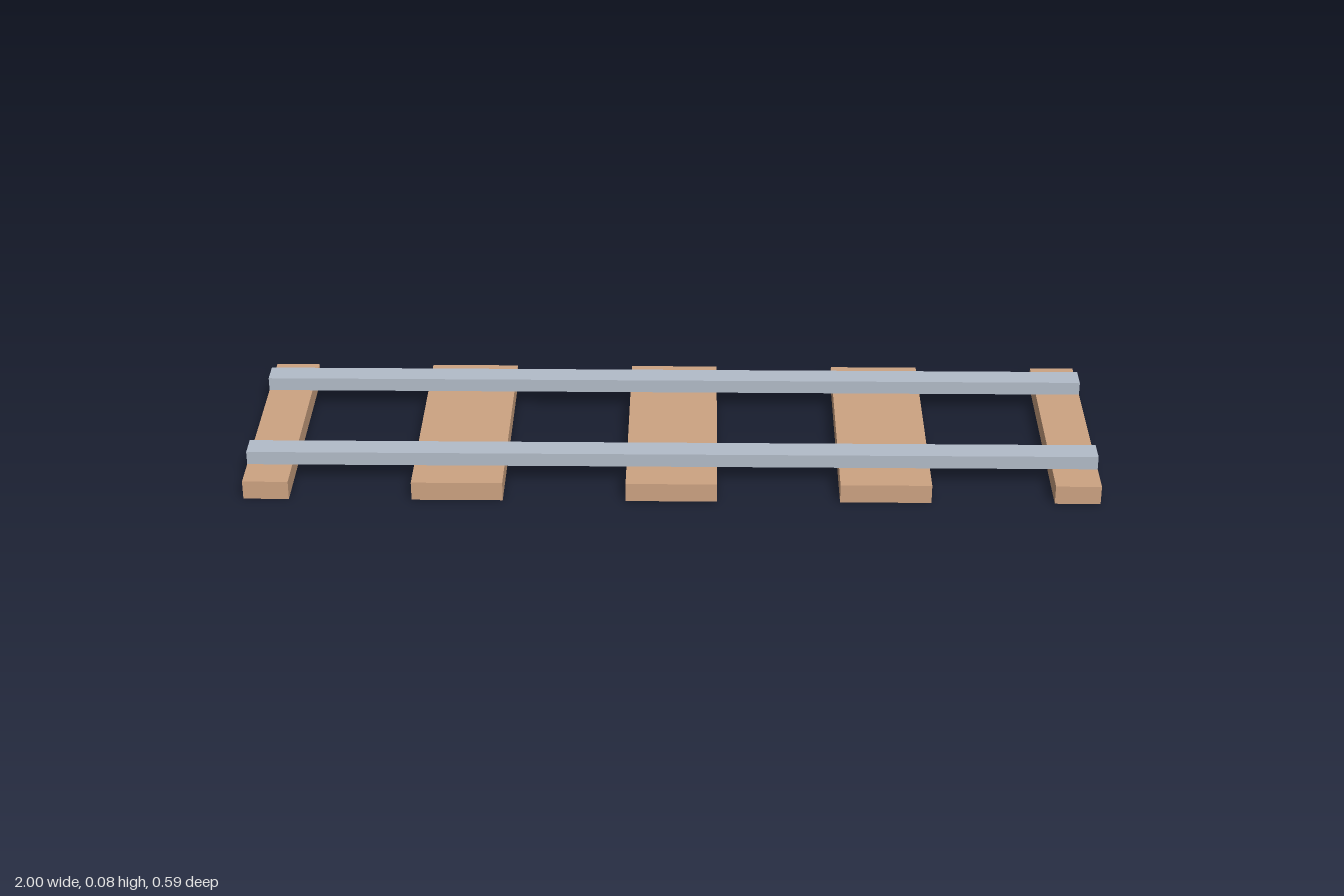
import * as THREE from 'three';

export function createModel() {
  const track = new THREE.Group();
  track.name = 'railTrack';
  const wood = new THREE.MeshStandardMaterial({ color: 0xcda382, flatShading: true });
  const steel = new THREE.MeshStandardMaterial({ color: 0xb3bcc9, flatShading: true });

  const sleeperHeight = 0.046, railHeight = 0.033;

  // Adds a box standing on height y
  function addBox(name, material, width, height, depth, x, y, z) {
    const mesh = new THREE.Mesh(new THREE.BoxGeometry(width, height, depth), material);
    mesh.name = name;
    mesh.position.set(x, y + height / 2, z);
    track.add(mesh);
  }

  // Wooden sleepers: three full ones, and a half at each end of the section
  const fullWidth = 0.213;
  for (let i = -2; i <= 2; i++) {
    const isEnd = Math.abs(i) === 2;
    const width = isEnd ? fullWidth / 2 : fullWidth;
    const x = isEnd ? Math.sign(i) * (1 - width / 2) : i * 0.5;
    addBox(isEnd ? 'halfSleeper' : 'sleeper', wood, width, sleeperHeight, 0.591, x, 0, 0);
  }

  // Steel rails running the whole length
  for (const side of [-1, 1]) {
    addBox(side > 0 ? 'frontRail' : 'backRail', steel, 2, railHeight, 0.057, 0, sleeperHeight, side * 0.185);
  }
  return track;
}
